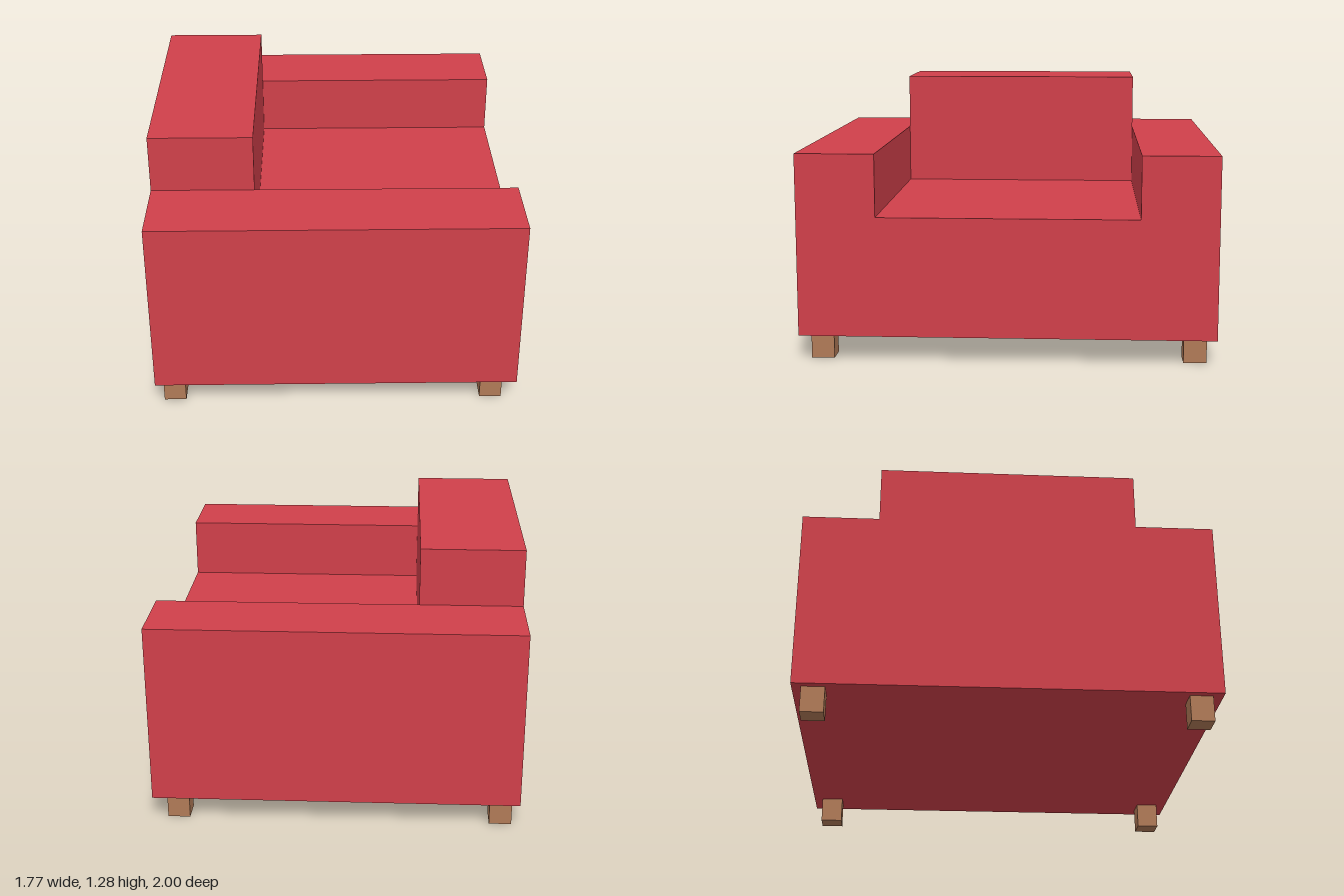
import * as THREE from 'three';

export function createModel() {
  const model = new THREE.Group();
  model.name = 'armchair';
  const fabric = new THREE.MeshStandardMaterial({ color: 0xd0404a, flatShading: true });
  const wood = new THREE.MeshStandardMaterial({ color: 0xb07a57, flatShading: true });

  const width = 1.762, halfDepth = 0.994;
  const base = 0.125, seat = 0.7, arm = 1.0, top = 1.28;
  const inner = [-0.627, 0.617]; // inner faces of the two arms, along z

  const add = (name, geometry, material, x = 0, y = 0, z = 0) => {
    const mesh = new THREE.Mesh(geometry, material);
    mesh.name = name;
    mesh.position.set(x, y, z);
    model.add(mesh);
  };

  // Seat and arms: one U-shaped section swept along x (shape x runs along -z)
  const section = new THREE.Shape([
    [-halfDepth, base], [halfDepth, base], [halfDepth, arm], [-inner[0], arm],
    [-inner[0], seat], [-inner[1], seat], [-inner[1], arm], [-halfDepth, arm],
  ].map(([x, y]) => new THREE.Vector2(x, y)));
  const body = new THREE.ExtrudeGeometry(section, { depth: width, bevelEnabled: false });
  body.rotateY(Math.PI / 2).translate(-width / 2, 0, 0);
  add('seatAndArms', body, fabric);

  // Thick backrest between the arms, rising above them
  const backThickness = width / 2 - 0.385;
  add('backrest', new THREE.BoxGeometry(backThickness, top - seat, inner[1] - inner[0]), fabric,
    (-width / 2 - 0.385) / 2, (seat + top) / 2, (inner[0] + inner[1]) / 2);

  // Four short square legs
  const leg = new THREE.BoxGeometry(0.107, base, 0.11);
  for (const x of [-0.792, 0.763])
    for (const z of [-0.895, 0.89]) add('leg', leg, wood, x, base / 2, z);

  // The chair stands very slightly turned
  model.rotation.y = -0.0062;
  return model;
}
